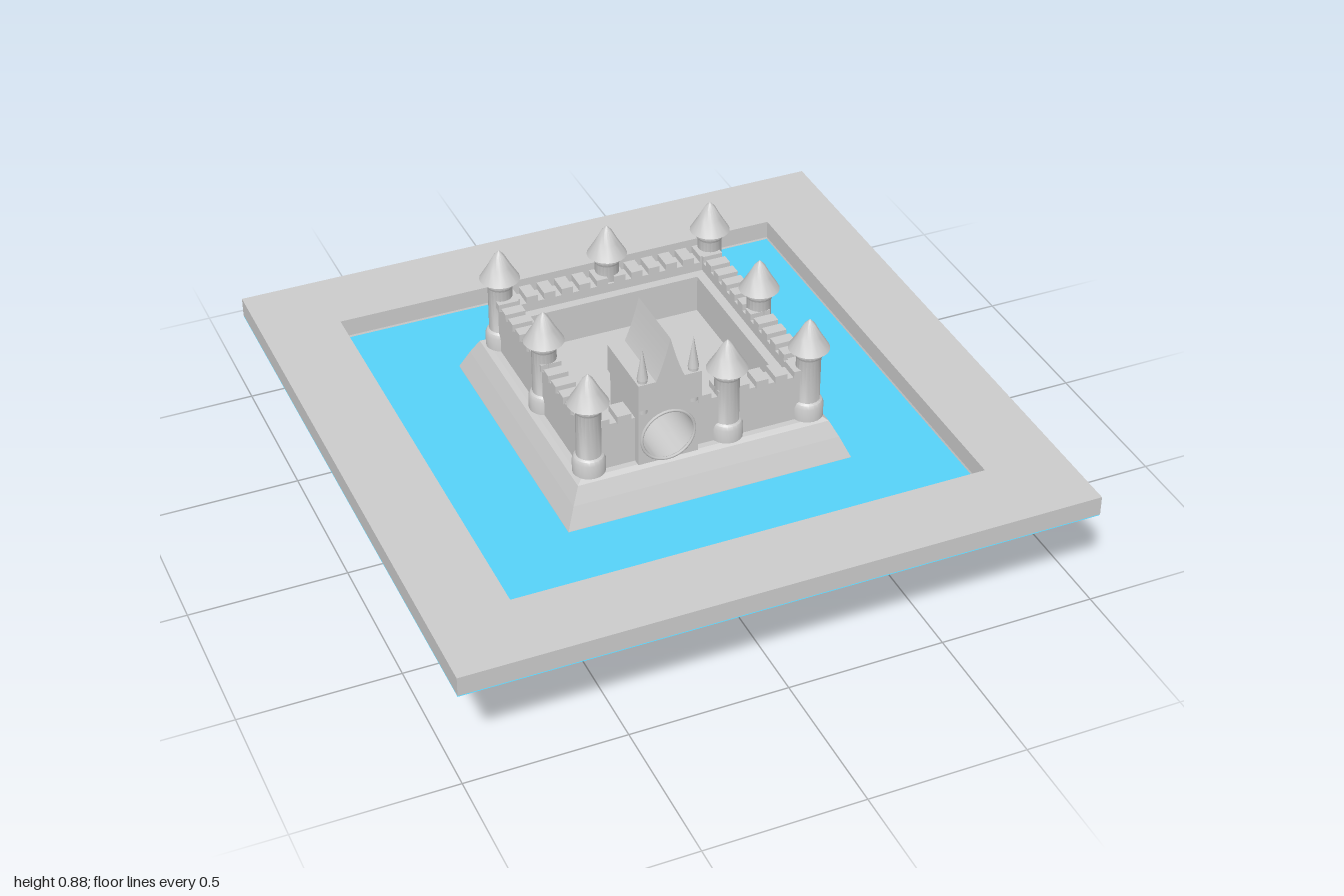
import * as THREE from 'three';
import { toCreasedNormals } from 'three/addons/utils/BufferGeometryUtils.js';

const stone = new THREE.MeshStandardMaterial({ color: 0xcccccc });
const shell = new THREE.MeshStandardMaterial({ color: 0xcccccc, flatShading: true, side: THREE.DoubleSide });
const blue = new THREE.MeshStandardMaterial({ color: 0x56d2f8, side: THREE.DoubleSide });

function add(parent, name, geometry, material = stone) {
  const mesh = new THREE.Mesh(geometry, material);
  mesh.name = name;
  parent.add(mesh);
  return mesh;
}

// Box given by its limits
function block(parent, name, x0, x1, y0, y1, z0, z1) {
  const mesh = add(parent, name, new THREE.BoxGeometry(x1 - x0, y1 - y0, z1 - z0));
  mesh.position.set((x0 + x1) / 2, (y0 + y1) / 2, (z0 + z1) / 2);
  return mesh;
}

// Square stepped solid from [half width, height] pairs
function squareLathe(profile) {
  const points = profile.map(([h, y]) => new THREE.Vector2(h * Math.SQRT2, y));
  return new THREE.LatheGeometry(points, 4, Math.PI / 4);
}

const FLOOR = 0.445, WALL_TOP = 0.6;

// Crenellated wall along local x, outer side towards +z
function wall(parent, x0, x1) {
  const g = new THREE.Group();
  g.name = 'wall';
  block(g, 'curtainWall', x0, x1, FLOOR, WALL_TOP, 0.31, 0.37);
  block(g, 'wallWalk', Math.max(x0, -0.31), Math.min(x1, 0.31), FLOOR, 0.57, 0.28, 0.311);
  const count = Math.round((x1 - x0) / 0.058);
  const step = (x1 - x0) / count;
  for (let i = 0; i < count; i++) {
    const c = x0 + (i + 0.5) * step;
    block(g, 'merlon', c - step * 0.32, c + step * 0.32, WALL_TOP - 0.002, 0.622, 0.31, 0.375);
  }
  parent.add(g);
  return g;
}

function towerGeometry() {
  const profile = [
    [0.05, FLOOR], [0.05, 0.488], [0.045, 0.5], [0.038, 0.505], [0.038, 0.655],
    [0.046, 0.667], [0.046, 0.685], [0.063, 0.685], [0.036, 0.73], [0.016, 0.768], [0, 0.785],
  ].map(([r, y]) => new THREE.Vector2(r, y));
  return toCreasedNormals(new THREE.LatheGeometry(profile, 20), 0.6);
}

function gatehouse() {
  const g = new THREE.Group();
  g.name = 'gatehouse';
  const depth = 0.21;

  // Body with a round passage
  const body = new THREE.Shape();
  body.moveTo(-0.095, 0);
  body.lineTo(0.095, 0);
  body.lineTo(0.095, 0.205);
  body.lineTo(-0.095, 0.205);
  body.closePath();
  const hole = new THREE.Path();
  hole.absarc(0, 0.084, 0.082, 0, Math.PI * 2, true);
  body.holes.push(hole);
  const geo = new THREE.ExtrudeGeometry(body, { depth, bevelEnabled: false, curveSegments: 24 });
  add(g, 'gateBody', toCreasedNormals(geo, 0.6)).position.set(0, FLOOR, 0.185);
  for (const z of [0.188, 0.395]) {
    add(g, 'gateArch', new THREE.TorusGeometry(0.084, 0.005, 6, 32)).position.set(0, FLOOR + 0.084, z);
  }

  // Upper storey and swept gable roof
  const roof = new THREE.Shape();
  roof.moveTo(-0.1, 0);
  roof.lineTo(0.1, 0);
  roof.lineTo(0.1, 0.09);
  roof.lineTo(0.045, 0.09);
  roof.quadraticCurveTo(0.022, 0.14, 0, 0.23);
  roof.quadraticCurveTo(-0.022, 0.14, -0.045, 0.09);
  roof.lineTo(-0.1, 0.09);
  roof.closePath();
  const roofGeo = new THREE.ExtrudeGeometry(roof, { depth: 0.23, bevelEnabled: false, curveSegments: 8 });
  add(g, 'gateRoof', toCreasedNormals(roofGeo, 0.5)).position.set(0, 0.647, 0.178);

  // Pinnacles on the front corners
  for (const side of [-1, 1]) {
    const post = add(g, 'pinnaclePost', new THREE.CylinderGeometry(0.015, 0.015, 0.12, 10));
    post.position.set(side * 0.08, 0.69, 0.39);
    const spike = add(g, 'pinnacle', new THREE.ConeGeometry(0.017, 0.105, 10));
    spike.position.set(side * 0.08, 0.8, 0.39);
  }
  g.position.x = -0.115;
  return g;
}

export function createModel() {
  const model = new THREE.Group();
  model.name = 'moatedCastle';

  // Ground slab with a square opening
  const ground = new THREE.Shape([[-1, -1], [1, -1], [1, 1], [-1, 1]].map(p => new THREE.Vector2(...p)));
  const h = 0.75;
  ground.holes.push(new THREE.Path([[-h, -h], [-h, h], [h, h], [h, -h]].map(p => new THREE.Vector2(...p))));
  const slab = add(model, 'ground', new THREE.ExtrudeGeometry(ground, { depth: 0.063, bevelEnabled: false }));
  slab.rotation.x = -Math.PI / 2;
  slab.position.y = 0.322;

  const water = add(model, 'water', new THREE.PlaneGeometry(2, 2), blue);
  water.rotation.x = -Math.PI / 2;
  water.position.y = 0.319;

  // Moat bed: outer bank down to the trench, inner bank up to the island top
  add(model, 'moatBank', squareLathe([[0.55, 0], [0.7, 0.18], [0.75, 0.325]]), shell);
  add(model, 'island', squareLathe([[0.55, 0], [0.458, 0.32], [0.43, 0.385], [0.405, 0.435], [0.39, FLOOR], [0, FLOOR]]), shell);

  // Walls: front is split by the gatehouse
  wall(model, -0.35, -0.21);
  wall(model, -0.02, 0.35);
  for (let i = 1; i < 4; i++) wall(model, -0.35, 0.35).rotation.y = i * Math.PI / 2;

  // Towers
  const tower = towerGeometry();
  const spots = [
    [-0.35, -0.355], [0.005, -0.355], [0.355, -0.355], [-0.35, 0.01],
    [0.355, 0.01], [-0.35, 0.355], [0.09, 0.355], [0.355, 0.355],
  ];
  for (const [x, z] of spots) add(model, 'tower', tower).position.set(x, 0, z);

  model.add(gatehouse());
  return model;
}
